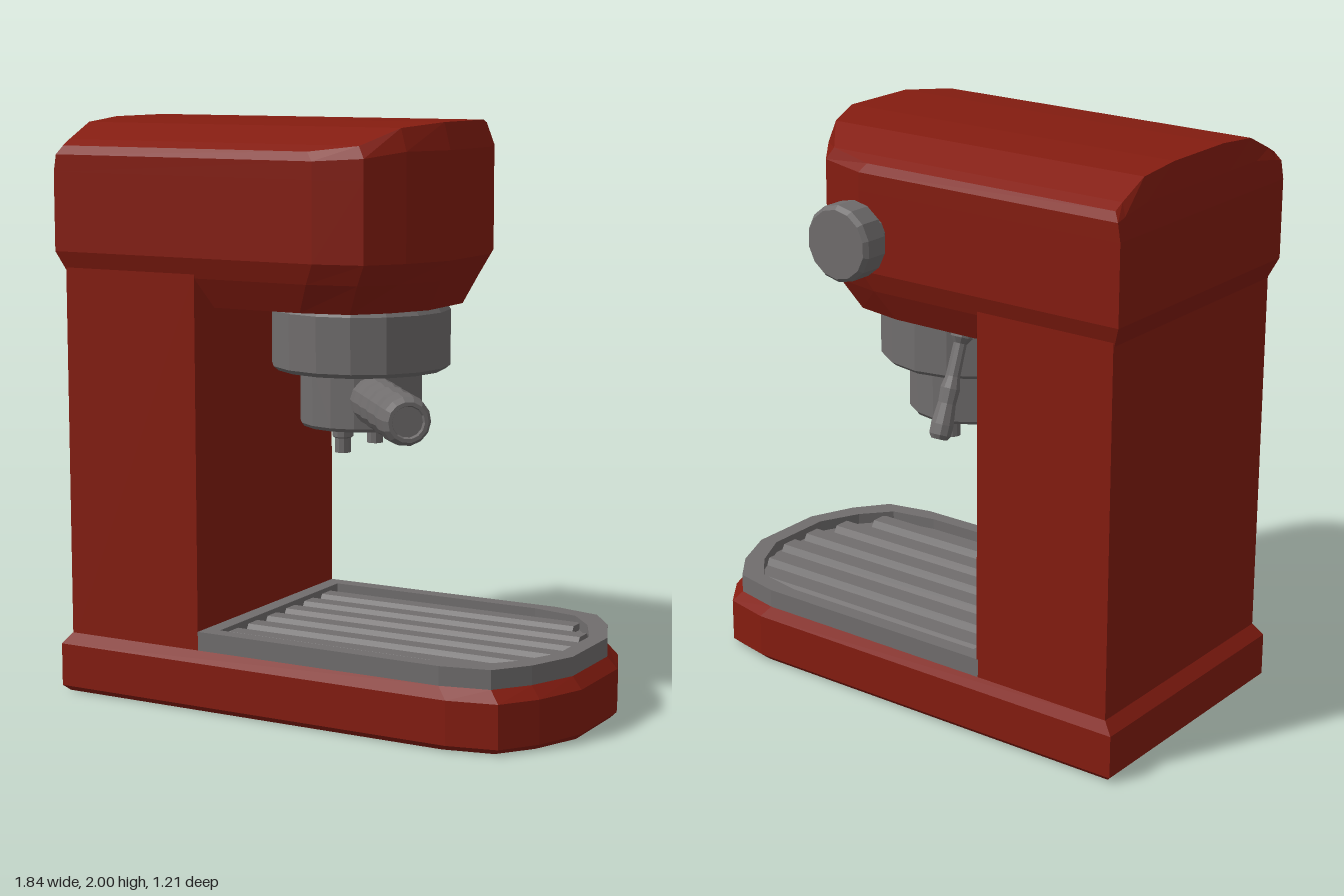
import * as THREE from 'three';

const red = new THREE.MeshStandardMaterial({ color: 0x841c10, flatShading: true });
const grey = new THREE.MeshStandardMaterial({ color: 0x706d6d, flatShading: true });
const ZC = 0.03; // centre line of the body

// Half outline of the rounded nose: setback from the tip, fraction of half width
const NOSE = [[0.33, 1], [0.16, 0.92], [0.07, 0.67], [0, 0.31]];

// Ring with a square back and a rounded nose; y is a number or one height per nose point
function ring({ y, back, nose, hw }) {
  const pts = [];
  for (let k = 0; k < 16; k++) {
    const front = k < 8;
    const j = front ? k : 15 - k;
    const i = j < 4 ? j : 7 - j;
    const side = j < 4 ? 1 : -1;
    pts.push([front ? nose - NOSE[i][0] : back, Array.isArray(y) ? y[i] : y, ZC + side * hw * NOSE[i][1]]);
  }
  return pts;
}

// Skin over a stack of rings, closed at both ends by strips running along x
function loft(name, material, layers) {
  const rings = layers.map(ring);
  const pos = [];
  const quad = (a, b, c, d) => pos.push(...a, ...b, ...c, ...a, ...c, ...d);
  for (let n = 0; n + 1 < rings.length; n++) {
    const a = rings[n], b = rings[n + 1];
    for (let k = 0; k < 16; k++) {
      const m = (k + 1) % 16;
      quad(a[k], a[m], b[m], b[k]);
    }
  }
  const lo = rings[0], hi = rings[rings.length - 1];
  for (let k = 0; k < 7; k++) {
    quad(hi[k], hi[k + 1], hi[14 - k], hi[15 - k]);
    quad(lo[15 - k], lo[14 - k], lo[k + 1], lo[k]);
  }
  const geo = new THREE.BufferGeometry();
  geo.setAttribute('position', new THREE.Float32BufferAttribute(pos, 3));
  geo.computeVertexNormals();
  return named(name, geo, material);
}

function named(name, geo, material) {
  const mesh = new THREE.Mesh(geo, material);
  mesh.name = name;
  return mesh;
}

// Turned part: profile of [radius, distance] pairs, placed at a start point along a direction
function turned(name, profile, start, dir, sides = 14) {
  const geo = new THREE.LatheGeometry(profile.map(([r, d]) => new THREE.Vector2(r, d)), sides);
  const mesh = named(name, geo, grey);
  mesh.position.set(...start);
  mesh.quaternion.setFromUnitVectors(new THREE.Vector3(0, 1, 0), new THREE.Vector3(...dir).normalize());
  return mesh;
}

export function createModel() {
  const model = new THREE.Group();
  model.name = 'espressoMachine';

  // Base with bevelled edges
  model.add(loft('base', red, [
    { y: 0, back: -0.9, nose: 0.9, hw: 0.46 },
    { y: 0.02, back: -0.92, nose: 0.92, hw: 0.48 },
    { y: 0.17, back: -0.92, nose: 0.92, hw: 0.48 },
    { y: 0.21, back: -0.885, nose: 0.885, hw: 0.46 },
  ]));

  // Column
  const column = named('column', new THREE.BoxGeometry(0.52, 1.33, 0.92), red);
  column.position.set(-0.625, 0.835, ZC);
  model.add(column);

  // Head with a vaulted roof, and its tapering underside
  model.add(loft('head', red, [
    { y: 1.48, back: -0.885, nose: 0.393, hw: 0.455 },
    { y: 1.55, back: -0.915, nose: 0.43, hw: 0.48 },
    { y: 1.82, back: -0.915, nose: 0.43, hw: 0.48 },
    { y: [1.88, 1.89, 1.91, 1.91], back: -0.905, nose: 0.43, hw: 0.48 },
    { y: [1.91, 1.93, 1.985, 2], back: -0.885, nose: 0.405, hw: 0.465 },
  ]));
  model.add(loft('headUnderside', red, [
    { y: 1.38, back: -0.32, nose: 0.34, hw: 0.405 },
    { y: 1.48, back: -0.367, nose: 0.393, hw: 0.455 },
  ]));

  // Drip tray with rim and slats
  model.add(loft('dripTray', grey, [
    { y: 0.2, back: -0.37, nose: 0.885, hw: 0.46 },
    { y: 0.275, back: -0.37, nose: 0.885, hw: 0.46 },
    { y: 0.275, back: -0.31, nose: 0.825, hw: 0.405 },
    { y: 0.235, back: -0.31, nose: 0.825, hw: 0.405 },
  ]));
  const slats = new THREE.Group();
  slats.name = 'traySlats';
  const section = new THREE.Shape([[-0.045, 0], [0.045, 0], [0.03, 0.025], [-0.03, 0.025]].map((p) => new THREE.Vector2(...p)));
  for (let i = 0; i < 6; i++) {
    const off = (i - 2.5) * 0.128;
    const end = 0.825 - [0.01, 0.05, 0.13][Math.floor(Math.abs(i - 2.5))];
    const slat = named('slat', new THREE.ExtrudeGeometry(section, { depth: end + 0.31, bevelEnabled: false }), grey);
    slat.rotation.y = Math.PI / 2;
    slat.position.set(-0.31, 0.234, ZC + off);
    slats.add(slat);
  }
  model.add(slats);

  // Brew group, filter holder and its two spouts
  const up = [0, 1, 0];
  const bx = 0.02, bz = 0.04;
  model.add(turned('brewGroup', [[0, 0], [0.29, 0], [0.308, 0.015], [0.308, 0.205], [0.29, 0.23], [0, 0.23]], [bx, 1.155, bz], up, 16));
  model.add(turned('filterHolder', [[0, 0], [0.2, 0], [0.21, 0.012], [0.21, 0.21], [0, 0.21]], [bx, 0.96, bz], up, 16));
  for (const side of [1, -1]) {
    model.add(turned('spout', [[0, 0], [0.028, 0], [0.028, 0.05], [0.036, 0.055], [0.036, 0.1], [0, 0.1]],
      [bx, 0.88, 0.053 + side * 0.113], up, 10));
  }

  // Contoured handle with a recessed end
  model.add(turned('handle', [[0, 0.17], [0.08, 0.17], [0.084, 0.25], [0.08, 0.31], [0.084, 0.36], [0.077, 0.41],
    [0.084, 0.47], [0.078, 0.53], [0.085, 0.6], [0.08, 0.66], [0.066, 0.685], [0.054, 0.685], [0.05, 0.672], [0, 0.672]],
    [bx, 1.07, bz], [0.455, 0, 0.51]));

  // Side knob
  model.add(turned('knob', [[0, 0], [0.075, 0], [0.075, 0.08], [0.118, 0.08], [0.128, 0.09], [0.128, 0.17], [0.115, 0.185], [0, 0.185]],
    [0.065, 1.68, -0.425], [0, 0, -1]));

  // Steam wand
  model.add(turned('steamWand', [[0, -0.02], [0.038, -0.02], [0.038, 0.02], [0.023, 0.04], [0.025, 0.15], [0.034, 0.19],
    [0.031, 0.24], [0.039, 0.31], [0.038, 0.345], [0.028, 0.36], [0, 0.36]],
    [-0.22, 1.37, -0.315], [0, -1, -0.38], 10));

  return model;
}
